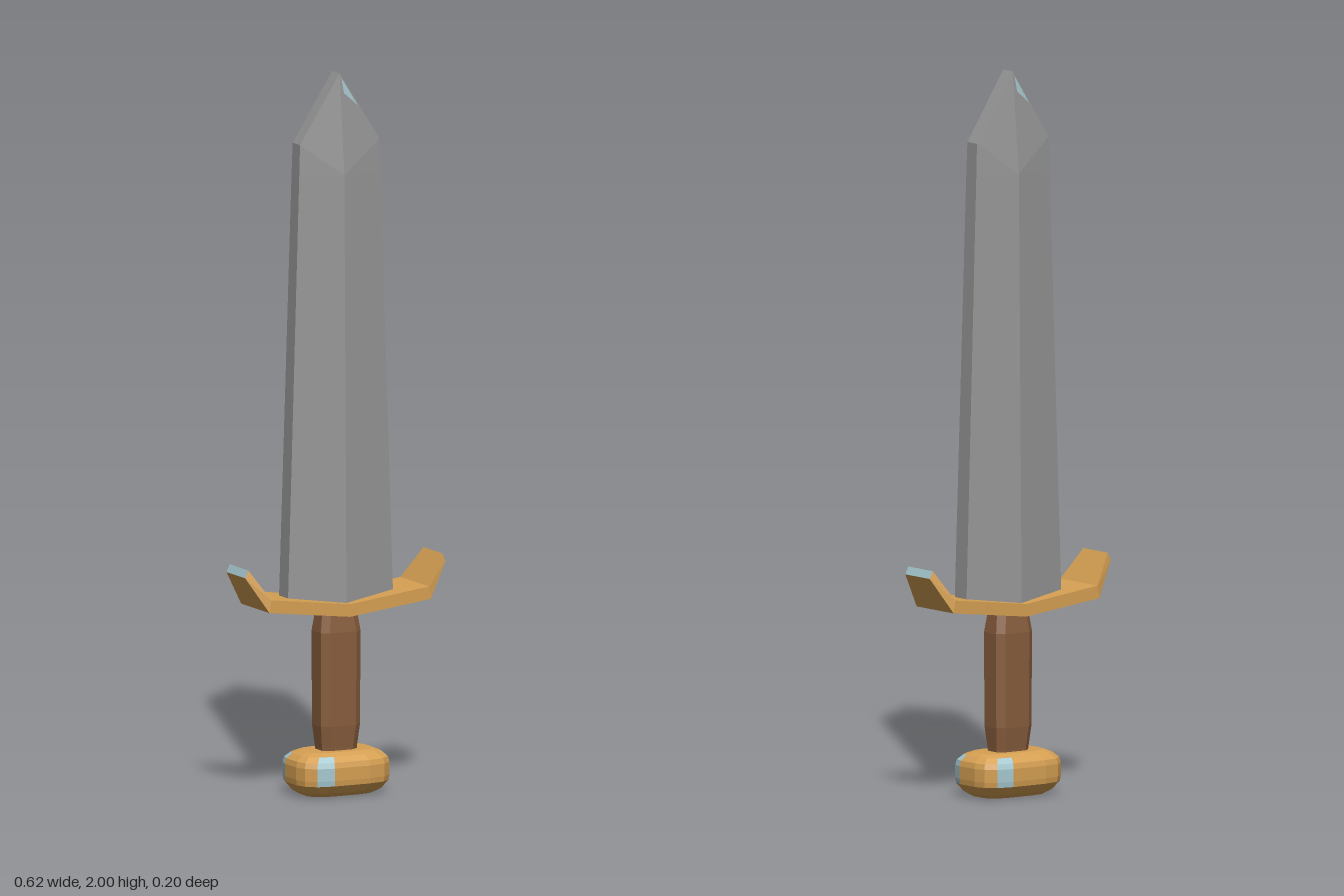
import * as THREE from 'three';

const material = (name, color) => {
  const m = new THREE.MeshStandardMaterial({ color });
  m.name = name;
  return m;
};

// Joins rings of corners into a faceted solid with end caps.
// slot(band, side) picks the material; band -1 stands for the caps.
function loft(rings, slot = () => 0) {
  const buckets = [[], []];
  const n = rings[0].length;
  const last = rings.length - 1;
  const v = (p) => new THREE.Vector3(...p);
  const put = (s, ...pts) => pts.forEach((p) => buckets[s].push(...p));
  for (let r = 0; r < last; r++) {
    for (let i = 0; i < n; i++) {
      const j = (i + 1) % n;
      const a = rings[r][i], b = rings[r][j], c = rings[r + 1][j], d = rings[r + 1][i];
      const s = slot(r, i);
      // choose the diagonal that keeps the surface convex
      const normal = v(d).sub(v(a)).cross(v(c).sub(v(a)));
      if (normal.dot(v(b).sub(v(a))) <= 1e-9) put(s, a, d, c, a, c, b);
      else put(s, a, d, b, d, c, b);
    }
  }
  for (let i = 1; i < n - 1; i++) {
    put(slot(-1, i), rings[0][0], rings[0][i], rings[0][i + 1]);
    put(slot(-1, i), rings[last][0], rings[last][i + 1], rings[last][i]);
  }
  const g = new THREE.BufferGeometry();
  g.setAttribute('position', new THREE.Float32BufferAttribute(buckets.flat(), 3));
  g.addGroup(0, buckets[0].length / 3, 0);
  g.addGroup(buckets[0].length / 3, buckets[1].length / 3, 1);
  g.computeVertexNormals();
  return g;
}

export function createModel() {
  const steel = material('steel', 0x969696);
  const gold = material('gold', 0xd6a053);
  const leather = material('leather', 0x875d3d);
  const glint = material('pale blue glint', 0xa6c8d0);
  const model = new THREE.Group();
  model.name = 'sword';
  const add = (name, geometry, mat) => {
    const mesh = new THREE.Mesh(geometry, mat);
    mesh.name = name;
    model.add(mesh);
  };

  // Blade: six-sided, with a central ridge and blunt edges
  const bladeRing = (w, edgeY, edgeZ, midY, midZ) => [
    [0, midY, midZ], [-w, edgeY, edgeZ], [-w, edgeY, -edgeZ],
    [0, midY, -midZ], [w, edgeY, -edgeZ], [w, edgeY, edgeZ],
  ];
  add('blade', loft([
    bladeRing(0.162, 0.53, 0.027, 0.53, 0.063),
    bladeRing(0.125, 1.72, 0.023, 1.72, 0.05),
    bladeRing(0.122, 1.81, 0.022, 2, 0.022),
  ]), [steel, steel]);

  // Small glint beside the point, on both faces
  const tip = new THREE.BufferGeometry();
  const front = [[0.004, 1.987], [0.01, 1.945], [0.055, 1.907]]
    .map(([x, y]) => [x, y, 0.024 + 0.1 * (2 - 1.557 * x - y)]);
  const back = front.map(([x, y, z]) => [-x, y, -z]);
  tip.setAttribute('position', new THREE.Float32BufferAttribute([...front, ...back].flat(), 3));
  tip.computeVertexNormals();
  add('bladeTipGlint', tip, glint);

  // Crossguard: shallow V with upturned, tapered ends
  const guardRing = (xb, yb, xt, yt, z) => [[xb, yb, z], [xt, yt, z], [xt, yt, -z], [xb, yb, -z]];
  add('crossguard', loft([
    guardRing(-0.308, 0.627, -0.298, 0.648, 0.056),
    guardRing(-0.248, 0.53, -0.242, 0.565, 0.085),
    guardRing(0, 0.5, 0, 0.535, 0.085),
    guardRing(0.248, 0.53, 0.242, 0.565, 0.085),
    guardRing(0.308, 0.627, 0.298, 0.648, 0.056),
  ], (band) => (band < 0 ? 1 : 0)), [gold, glint]);

  // Grip: chamfered bar, slimmer at both ends
  const gripRing = (y, w, d) => {
    const a = w - 0.02, b = d - 0.015;
    return [[w, b], [a, d], [-a, d], [-w, b], [-w, -b], [-a, -d], [a, -d], [w, -b]]
      .map(([x, z]) => [x, y, z]);
  };
  add('grip', loft([
    gripRing(0.1, 0.052, 0.034), gripRing(0.13, 0.054, 0.036), gripRing(0.19, 0.06, 0.042),
    gripRing(0.45, 0.061, 0.043), gripRing(0.5, 0.054, 0.037), gripRing(0.53, 0.05, 0.034),
  ]), [leather, leather]);

  // Pommel: rounded block with a few pale facets
  const quarter = [[0.14, 0.034], [0.13, 0.067], [0.103, 0.09], [0.055, 0.1]];
  const half = [...quarter, ...quarter.map(([x, z]) => [-x, z]).reverse()];
  const outline = [...half, ...half.map(([x, z]) => [-x, -z])];
  const pommelRing = ([y, inset]) => outline.map(([x, z]) =>
    [x * (1 - inset / 0.14), y, z * (1 - inset / 0.1)]);
  add('pommel', loft(
    [[0, 0.04], [0.012, 0.02], [0.035, 0.002], [0.05, 0], [0.085, 0],
      [0.1, 0.004], [0.114, 0.02], [0.122, 0.04]].map(pommelRing),
    (band, side) => (band >= 2 && band <= 5 && [0, 4].includes(side % 8) ? 1 : 0),
  ), [gold, glint]);

  return model;
}
